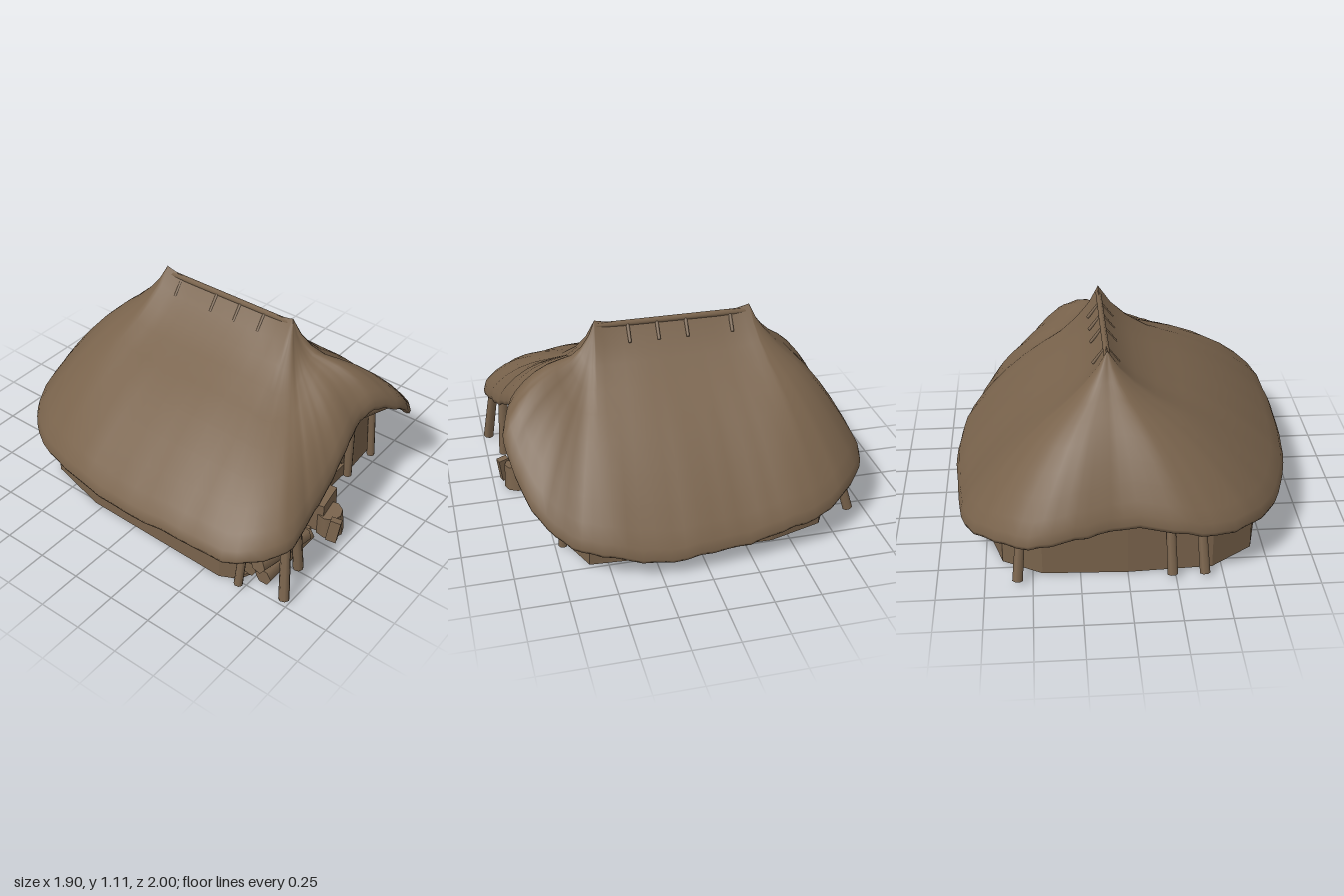
import * as THREE from 'three';

const brown = new THREE.MeshStandardMaterial({ color: 0x79634c, side: THREE.DoubleSide });
brown.name = 'weathered brown';

const V = (x, y, z) => new THREE.Vector3(x, y, z);

function add(group, name, geometry) {
  const mesh = new THREE.Mesh(geometry, brown);
  mesh.name = name;
  group.add(mesh);
  return mesh;
}

// Round pole between two points
function pole(group, name, a, b, r = 0.025, sides = 7) {
  const dir = b.clone().sub(a);
  const mesh = add(group, name, new THREE.CylinderGeometry(r * 0.9, r, dir.length(), sides));
  mesh.position.copy(a).addScaledVector(dir, 0.5);
  mesh.quaternion.setFromUnitVectors(V(0, 1, 0), dir.normalize());
  return mesh;
}

function block(group, name, size, pos, rot = [0, 0, 0]) {
  const mesh = add(group, name, new THREE.BoxGeometry(...size));
  mesh.position.set(...pos);
  mesh.rotation.set(...rot);
  return mesh;
}

// Lower edge of the thatch, seen from above counter-clockwise
const EAVE = [
  [-0.91, 0.29, 0.8], [-0.72, 0.32, 0.97], [-0.5, 0.37, 0.96], [-0.3, 0.45, 0.94], [-0.1, 0.54, 0.91],
  [0.08, 0.62, 0.88], [0.2, 0.65, 0.92], [0.35, 0.58, 0.97], [0.5, 0.45, 0.94], [0.7, 0.28, 0.85],
  [0.82, 0.17, 0.7], [0.9, 0.12, 0.5], [0.94, 0.08, 0.2], [0.92, 0.09, -0.1], [0.9, 0.12, -0.35],
  [0.86, 0.16, -0.6], [0.74, 0.21, -0.81], [0.52, 0.26, -0.98], [0.28, 0.3, -0.99], [0.03, 0.34, -0.95],
  [-0.3, 0.31, -0.99], [-0.55, 0.27, -0.92], [-0.76, 0.25, -0.72], [-0.89, 0.26, -0.4], [-0.95, 0.27, 0],
  [-0.95, 0.28, 0.45],
];

// Rings from the ridge to the eave and back underneath: [blend, bulge, drop]
const RINGS = [
  [0, 0, 0], [0.07, -0.03, 0], [0.16, -0.03, 0], [0.28, -0.01, 0], [0.42, 0.03, 0], [0.56, 0.055, 0],
  [0.7, 0.06, 0], [0.82, 0.05, 0], [0.92, 0.03, 0], [0.98, 0.01, 0], [1, 0, 0.025], [0.99, 0, 0.055],
  [0.96, 0, 0.06], [0.9, 0.03, 0.08], [0.75, 0.05, 0.09], [0.5, 0.04, 0.09], [0.25, 0, 0.09], [0.02, 0, 0.09],
];

function thatchGeometry() {
  const curve = new THREE.CatmullRomCurve3(EAVE.map(p => V(...p)), true);
  const n = 104, pos = [], idx = [];
  const edge = Array.from({ length: n }, (_, j) => curve.getPoint(j / n));
  RINGS.forEach(([t, bulge, drop]) => edge.forEach((e, j) => {
    const rz = THREE.MathUtils.clamp(e.z * 0.75, -0.44, 0.42);
    const ry = 1.075 + 0.03 * Math.pow(Math.abs(rz) / 0.44, 6);
    // The slope sags more towards the porch
    const front = THREE.MathUtils.smoothstep(e.z, 0.2, 0.85);
    const right = THREE.MathUtils.smoothstep(-e.x, 0.1, 0.8);
    const sag = (0.42 * front + 0.12 * right) * t * (1 - t) ** 2;
    const ragged = 0.006 * t * t * (Math.sin(j * 0.9) + Math.sin(j * 2.3));
    pos.push(
      THREE.MathUtils.lerp(0.08, e.x, t),
      THREE.MathUtils.lerp(ry, e.y + 0.06, t) + bulge - sag - drop + ragged,
      THREE.MathUtils.lerp(rz, e.z, t));
  }));
  for (let i = 0; i < RINGS.length - 1; i++) for (let j = 0; j < n; j++) {
    const a = i * n + j, b = i * n + (j + 1) % n, c = a + n, d = b + n;
    idx.push(a, c, d, a, d, b);
  }
  const g = new THREE.BufferGeometry();
  g.setAttribute('position', new THREE.Float32BufferAttribute(pos, 3));
  g.setIndex(idx);
  g.computeVertexNormals();
  return g;
}

// Wall corners [x, top, z]; the run from DOOR to the next corner is the doorway
const WALL = [
  [-0.79, 0.36, 0.6], [-0.74, 0.38, 0.7], [-0.68, 0.4, 0.68], [-0.65, 0.48, 0.42], [-0.05, 0.7, 0.42],
  [-0.03, 0.66, 0.62], [0.06, 0.7, 0.64], [0.27, 0.68, 0.67], [0.4, 0.58, 0.68], [0.56, 0.45, 0.67],
  [0.73, 0.27, 0.6], [0.75, 0.26, 0.3], [0.75, 0.25, -0.4], [0.66, 0.27, -0.7], [0.45, 0.41, -0.82],
  [0, 0.45, -0.84], [-0.45, 0.4, -0.82], [-0.68, 0.33, -0.66], [-0.77, 0.35, -0.3],
];
const DOOR = 6;

function wallGeometry() {
  const pos = [];
  WALL.forEach(([x, h, z], i) => {
    const [x2, h2, z2] = WALL[(i + 1) % WALL.length];
    const y = i === DOOR ? 0.43 : 0.01;
    pos.push(x, y, z, x2, y, z2, x2, h2, z2, x, y, z, x2, h2, z2, x, h, z);
  });
  const g = new THREE.BufferGeometry();
  g.setAttribute('position', new THREE.Float32BufferAttribute(pos, 3));
  g.computeVertexNormals();
  return g;
}

export function createModel() {
  const hut = new THREE.Group();
  hut.name = 'thatchedHut';

  add(hut, 'thatchRoof', thatchGeometry());
  add(hut, 'walls', wallGeometry());

  // Floor slab, including the porch
  const plan = [...WALL.slice(6), ...WALL.slice(0, 2)].map(([x, , z]) => new THREE.Vector2(x, -z));
  plan.push(new THREE.Vector2(-0.5, -0.8), new THREE.Vector2(-0.1, -0.78));
  const floor = add(hut, 'floor', new THREE.ExtrudeGeometry(new THREE.Shape(plan), { depth: 0.02, bevelEnabled: false }));
  floor.rotation.x = -Math.PI / 2;

  // Ridge pole and the short ties across it
  pole(hut, 'ridgePole', V(0.08, 1.065, -0.42), V(0.08, 1.065, 0.41), 0.018);
  for (const z of [-0.33, -0.08, 0.08, 0.24])
    for (const s of [-1, 1])
      pole(hut, 'ridgeTie', V(0.08, 1.07, z), V(0.08 + s * 0.07, 0.98, z), 0.01, 5);

  // Doorway: recess, threshold and a door left ajar
  const door = new THREE.Group();
  door.name = 'doorway';
  hut.add(door);
  block(door, 'recessBack', [0.28, 0.44, 0.02], [0.17, 0.22, 0.44]);
  block(door, 'recessLeft', [0.02, 0.44, 0.22], [0.28, 0.22, 0.55]);
  block(door, 'recessRight', [0.02, 0.44, 0.2], [0.05, 0.22, 0.54]);
  block(door, 'recessTop', [0.24, 0.02, 0.22], [0.165, 0.43, 0.55]);
  block(door, 'threshold', [0.26, 0.08, 0.05], [0.16, 0.05, 0.66]);
  block(door, 'doorLeaf', [0.1, 0.34, 0.02], [0.12, 0.26, 0.58], [0, 0.7, 0.06]);
  pole(door, 'doorBrace', V(0.2, 0.08, 0.6), V(0.25, 0.42, 0.58), 0.014);

  // Posts along the front: [foot x, foot z, top x, top y, top z, radius]
  const posts = [
    [-0.72, 0.97, -0.65, 0.38, 0.92, 0.03], [-0.49, 0.9, -0.51, 0.42, 0.88, 0.03],
    [-0.13, 0.7, -0.13, 0.58, 0.7, 0.027], [-0.02, 0.68, -0.02, 0.62, 0.68, 0.025],
    [0.3, 0.7, 0.3, 0.64, 0.7, 0.027], [0.54, 0.71, 0.53, 0.46, 0.69, 0.024],
    [-0.78, 0.72, -0.71, 0.36, 0.72, 0.025],
  ];
  for (const [x, z, tx, ty, tz, r] of posts) pole(hut, 'frontPost', V(x, 0.01, z), V(tx, ty, tz), r);

  // Leaning props under the back eave
  for (const [x, tx] of [[0.58, 0.55], [-0.23, -0.22], [-0.4, -0.38]])
    pole(hut, 'backPost', V(x, 0.02, -0.9), V(tx, 0.34, -0.81), 0.028);

  // Beams under the gable
  pole(hut, 'gableBeam', V(-0.62, 0.36, 0.84), V(0.12, 0.62, 0.82), 0.022);
  pole(hut, 'gableBeam', V(0.08, 0.62, 0.82), V(0.56, 0.42, 0.8), 0.022);
  pole(hut, 'crossBeam', V(-0.2, 0.52, 0.7), V(0, 0.53, 0.68), 0.02);

  // Firewood heaped on the porch
  const pile = new THREE.Group();
  pile.name = 'woodPile';
  hut.add(pile);
  for (let row = 0; row < 4; row++) for (let k = 0; k < 3; k++) {
    const y = 0.06 + row * 0.06, z = 0.82 - k * 0.1 - row * 0.03, w = Math.sin(row * 5 + k * 3) * 0.04;
    pole(pile, 'log', V(-0.7 + row * 0.03 + w, y - w * 0.4, z), V(-0.29 + w, y + w * 0.8, z - w), 0.05, 6);
  }
  block(pile, 'plank', [0.36, 0.03, 0.16], [-0.45, 0.3, 0.62], [0.1, 0.1, 0.02]);
  block(pile, 'leaningBoard', [0.11, 0.24, 0.02], [-0.32, 0.4, 0.5], [-0.1, 0, 0]);
  block(pile, 'leaningBoard', [0.08, 0.26, 0.02], [-0.24, 0.14, 0.72], [-0.25, 0, 0.15]);

  // Chopping stump and a crate beside the door
  pole(hut, 'stump', V(-0.13, 0, 0.86), V(-0.14, 0.14, 0.86), 0.08, 9);
  block(hut, 'crate', [0.17, 0.2, 0.13], [-0.12, 0.11, 0.78], [0, 0.15, 0.05]);
  block(hut, 'splitLog', [0.04, 0.14, 0.06], [-0.2, 0.08, 0.93], [0.15, 0.3, -0.1]);

  return hut;
}
